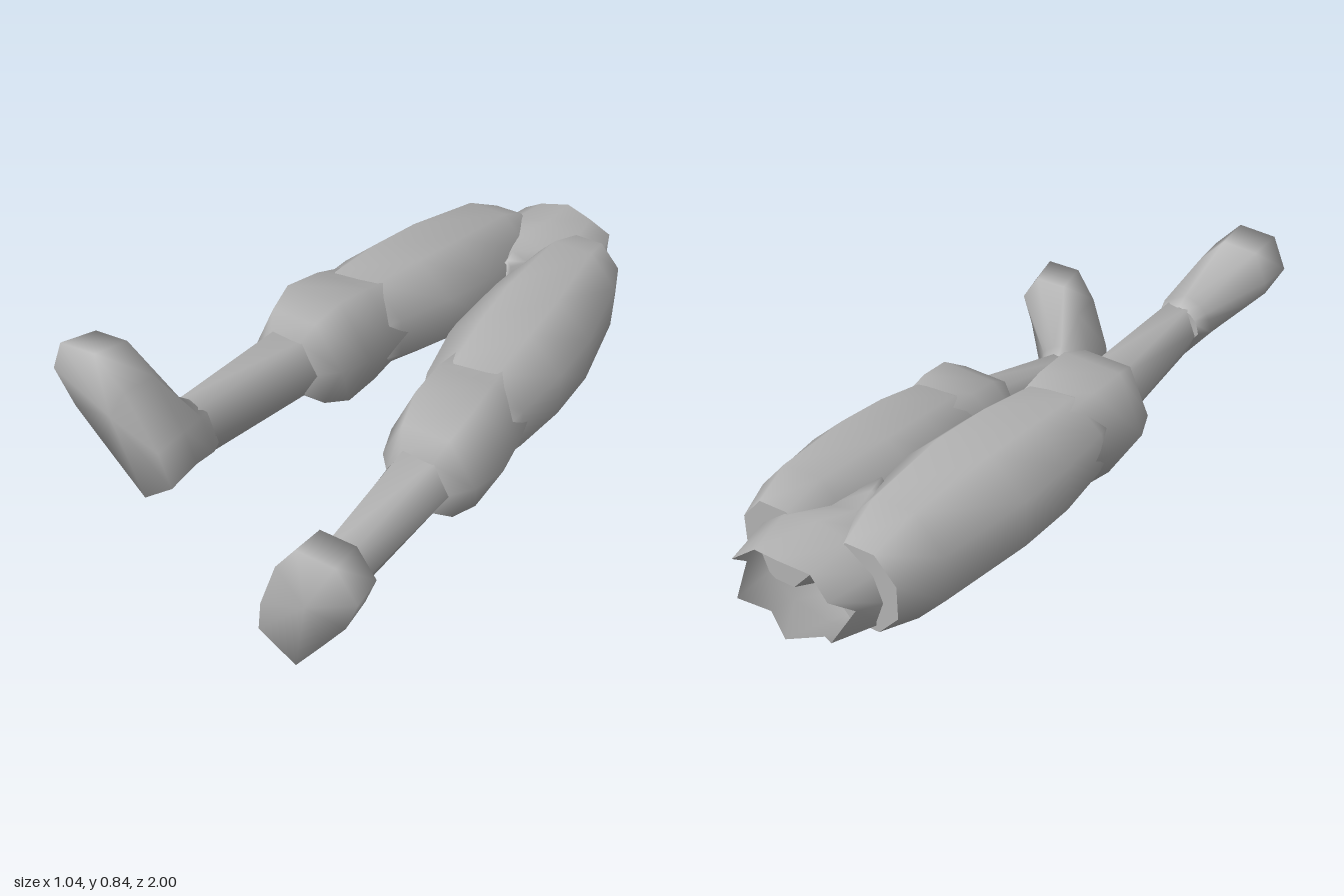
import * as THREE from 'three';

const grey = new THREE.MeshStandardMaterial({ color: 0xb2b2b2 });
grey.name = 'plain grey';
grey.side = THREE.DoubleSide;

// Oval cross-section, corners counter-clockwise seen from +z
function oval(z, cx, cy, rx, ry, sides, phase = 0) {
  return Array.from({ length: sides }, (_, k) => {
    const a = ((k + phase) / sides) * Math.PI * 2;
    return [cx + rx * Math.cos(a), cy + ry * Math.sin(a), z];
  });
}

// Skin over cross-sections running towards +z, smooth over the far end
function loft(name, rings, openStart = false) {
  const pos = rings.flat(2), index = [], n = rings[0].length;
  for (let i = 0; i < rings.length - 1; i++) {
    for (let k = 0; k < n; k++) {
      const a = i * n + k, b = i * n + ((k + 1) % n);
      index.push(a, b, b + n, a, b + n, a + n);
    }
  }
  const cap = (ring, base, flip) => {
    const middle = pos.length / 3;
    pos.push(...[0, 1, 2].map((j) => ring.reduce((s, p) => s + p[j], 0) / n));
    for (let k = 0; k < n; k++) {
      const a = base + k, b = base + ((k + 1) % n);
      index.push(middle, flip ? b : a, flip ? a : b);
    }
  };
  cap(rings[rings.length - 1], (rings.length - 1) * n, false);
  if (!openStart) {
    const base = pos.length / 3;
    pos.push(...rings[0].flat());
    cap(rings[0], base, true);
  }
  const g = new THREE.BufferGeometry();
  g.setAttribute('position', new THREE.Float32BufferAttribute(pos, 3));
  g.setIndex(index);
  g.computeVertexNormals();
  const mesh = new THREE.Mesh(g, grey);
  mesh.name = name;
  return mesh;
}

// Leg parts shared by both sides: [z, half width, half height]
const thigh = [[-0.84, 0.135, 0.15], [-0.7, 0.187, 0.205], [-0.4, 0.238, 0.21],
  [-0.2, 0.23, 0.205], [0, 0.194, 0.185], [0.07, 0.17, 0.16]];
const knee = [[-0.05, 0.18, 0.185], [0.05, 0.2, 0.21], [0.18, 0.208, 0.225],
  [0.28, 0.17, 0.18], [0.335, 0.115, 0.118]];
const calf = [[0.25, 0.12, 0.122], [0.8, 0.078, 0.105]];

// Sole outline around the ankle, toes towards +x and up
const sole = [[-0.1, -0.03], [-0.065, 0.085], [0.03, 0.26], [0.12, 0.355], [0.25, 0.34],
  [0.3, 0.23], [0.24, 0.12], [0.14, 0.01], [0.015, -0.125]];

// Foot: the sole outline shrinks towards the ankle
function foot(x, y, z, mirror, roll) {
  const c = Math.cos(roll), s = Math.sin(roll);
  const outline = sole.map(([u, v]) => [(u * c - v * s) * mirror, u * s + v * c]);
  if (mirror > 0) outline.reverse();
  const ring = (dz, scale, limit) => outline.map(([u, v]) => {
    const f = Math.min(scale, limit / Math.hypot(u, v));
    return [x + u * f, y + v * f, z + dz];
  });
  return loft('foot', [ring(-0.22, 1, 0.092), ring(-0.185, 1, 0.125), ring(-0.115, 0.93, 1), ring(0, 1, 1)]);
}

// Sections are strung along a centre line of [z, x, y] points
function createLeg(name, line, shift, mirror, roll) {
  const centre = (z) => {
    let i = 0;
    while (i < line.length - 2 && z > line[i + 1][0]) i++;
    const [a, b] = [line[i], line[i + 1]];
    const t = (z - a[0]) / (b[0] - a[0]);
    return [1, 2].map((j) => THREE.MathUtils.lerp(a[j], b[j], t));
  };
  const part = (partName, profile, sides, phase) => loft(partName,
    profile.map(([z, w, h]) => oval(z + shift, ...centre(z), w, h, sides, phase)));
  const leg = new THREE.Group();
  leg.name = name;
  leg.add(part('thigh', thigh, 8, 0.5), part('knee', knee, 6, 0.06), part('calf', calf, 6, 0));
  leg.add(foot(...centre(0.79), 0.98 + shift, mirror, roll));
  return leg;
}

// Hollow pelvis, narrowing to the crotch, with a torn open waist
function createPelvis() {
  const sides = 12;
  const waist = oval(-0.99, 0.105, 0.305, 0.205, 0.143, sides);
  waist.forEach((p, k) => {
    p[2] += k % 6 === 0 ? 0.07 : k > 6 && k % 2 === 0 ? 0.045 : k % 2 === 0 ? 0.01 : -0.01;
  });
  return loft('pelvis', [
    waist,
    oval(-0.82, 0.11, 0.285, 0.25, 0.185, sides),
    oval(-0.7, 0.06, 0.265, 0.23, 0.19, sides),
    oval(-0.6, 0.09, 0.28, 0.12, 0.175, sides),
    oval(-0.53, 0.105, 0.31, 0.03, 0.15, sides),
  ], true);
}

export function createModel() {
  const model = new THREE.Group();
  model.name = 'lowerBody';
  const rightLine = [[-0.84, -0.06, 0.315], [-0.4, -0.11, 0.38], [0, -0.172, 0.418],
    [0.2, -0.198, 0.425], [0.79, -0.22, 0.49]];
  const leftLine = [[-0.84, 0.28, 0.315], [-0.4, 0.29, 0.292], [0, 0.3, 0.262],
    [0.2, 0.308, 0.222], [0.79, 0.264, 0.122]];
  model.add(createLeg('rightLeg', rightLine, 0, -1, 0));
  model.add(createLeg('leftLeg', leftLine, 0.02, 1, 0.16));
  model.add(createPelvis());
  return model;
}
